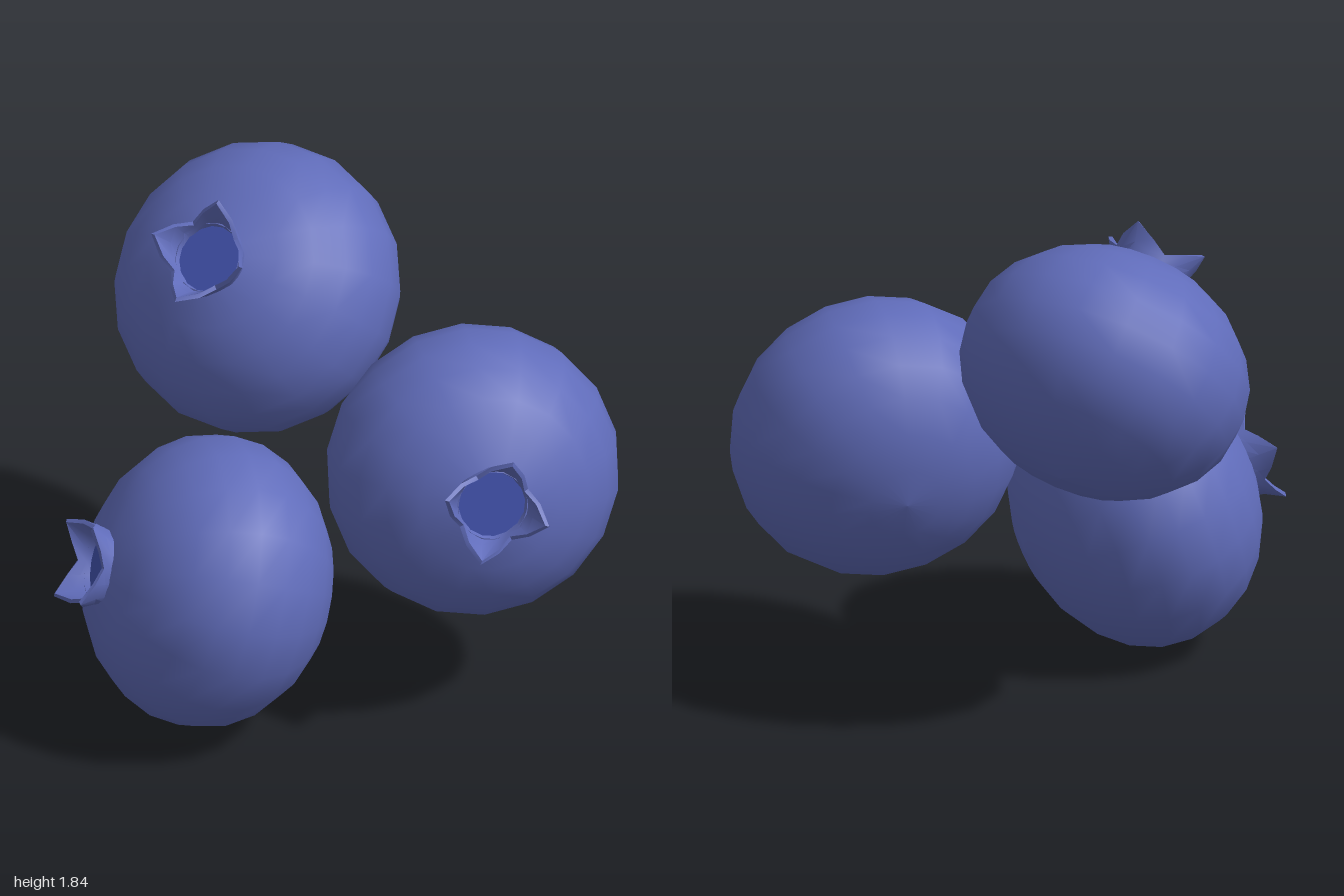
import * as THREE from 'three';
import { toCreasedNormals } from 'three/addons/utils/BufferGeometryUtils.js';

const A = 0.54, C = 0.445;      // berry radius across and along its axis
const MOUTH = 0.128;            // radius of the opening under the crown

// Squashed sphere, open at the top where the crown sits
function bodyGeometry() {
  const end = Math.acos(MOUTH / A), rings = 11, pts = [];
  for (let i = 0; i <= rings; i++) {
    const t = -Math.PI / 2 + (end + Math.PI / 2) * i / rings;
    pts.push(new THREE.Vector2(Math.max(0, A * Math.cos(t)), C * Math.sin(t)));
  }
  return new THREE.LatheGeometry(pts, 18);
}

// Four flared, pointed sepals joined in one thick-walled ring
function crownGeometry() {
  const n = 16, pos = [], idx = [];
  for (let i = 0; i <= n; i++) {
    const a = i / n * Math.PI * 2;
    const k = Math.abs((i % 4) - 2) / 2;              // 1 at a tip, 0 in a valley
    const tip = Math.pow(k, 1.25);
    const r = 0.142 + 0.06 * tip, y = 0.458 + 0.068 * tip;
    const profile = [
      [0.138, 0.395], [0.138 + (r - 0.138) * 0.4, (0.395 + y) / 2], [r, y],
      [r - 0.016, y + 0.003], [0.122 + (r - 0.138) * 0.4, (0.4 + y) / 2], [0.12, 0.405]
    ];
    for (const [pr, py] of profile) pos.push(pr * Math.cos(a), py, pr * Math.sin(a));
  }
  for (let i = 0; i < n; i++) for (let j = 0; j < 5; j++) {
    const p = i * 6 + j, q = p + 6;
    idx.push(p, p + 1, q, q, p + 1, q + 1);
  }
  const g = new THREE.BufferGeometry();
  g.setAttribute('position', new THREE.Float32BufferAttribute(pos, 3));
  g.setIndex(idx);
  return toCreasedNormals(g, 0.6);
}

export function createModel() {
  const skin = new THREE.MeshStandardMaterial({ color: 0x606cba });
  skin.name = 'berry skin';
  const centre = new THREE.MeshStandardMaterial({ color: 0x4152ac });
  centre.name = 'crown centre blue';

  const body = bodyGeometry(), crown = crownGeometry();
  const disc = new THREE.CircleGeometry(0.13, 16).rotateX(-Math.PI / 2).translate(0, 0.412, 0);

  // Position, crown direction and direction of one sepal tip
  const berries = [
    ['upperBerry', [-0.465, 1.345, -0.36], [0, 0.68, 0.73], [0, 0.73, -0.68]],
    ['sideBerry', [0.49, 0.91, -0.36], [0.69, 0.25, 0.69], [0.14, -0.07, -0.13]],
    ['frontBerry', [-0.2, 0.54, 0.335], [-0.63, 0.3, 0.72], [0.14, -0.07, 0.13]]
  ];

  const model = new THREE.Group();
  model.name = 'blueberries';
  for (const [name, at, axis, tip] of berries) {
    const berry = new THREE.Group();
    berry.name = name;
    const parts = [['body', body, skin], ['crown', crown, skin], ['crownCentre', disc, centre]];
    for (const [part, geometry, material] of parts) {
      const mesh = new THREE.Mesh(geometry, material);
      mesh.name = part;
      berry.add(mesh);
    }
    const y = new THREE.Vector3(...axis).normalize();
    const z = new THREE.Vector3(...tip).cross(y).normalize();
    const x = new THREE.Vector3().crossVectors(y, z);
    berry.quaternion.setFromRotationMatrix(new THREE.Matrix4().makeBasis(x, y, z));
    berry.position.set(...at);
    model.add(berry);
  }
  return model;
}
